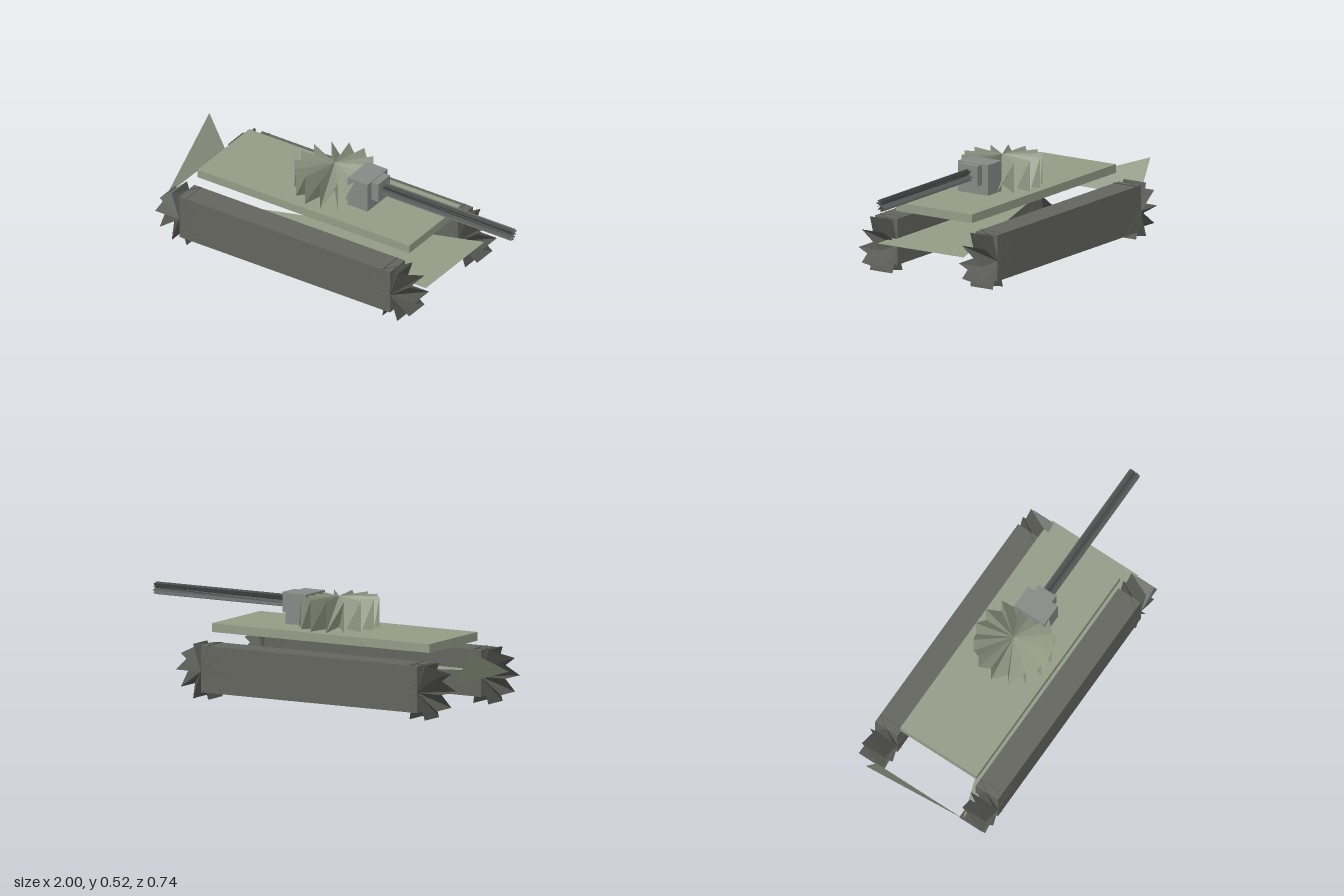
import * as THREE from 'three';

const paint = (color) => new THREE.MeshStandardMaterial({ color, flatShading: true, side: THREE.DoubleSide });

// Triangles from a list of [x, y, z] corners
function triangles(corners) {
  const geo = new THREE.BufferGeometry();
  geo.setAttribute('position', new THREE.Float32BufferAttribute(corners.flat(), 3));
  geo.computeVertexNormals();
  return geo;
}

// Spiked drum along y: each sector is a wedge running from the top rim
// down to the next bottom rim corner, with a radial fin between wedges
function spikedDrum(radius, height, sides) {
  const h = height / 2, top = [0, h, 0], bottom = [0, -h, 0], list = [];
  const rim = (i, y) => {
    const a = (i / sides) * Math.PI * 2;
    return [radius * Math.cos(a), y, radius * Math.sin(a)];
  };
  for (let i = 0; i < sides; i++) {
    const t = rim(i, h), b = rim(i, -h), next = rim(i + 1, -h);
    list.push(top, next, t, bottom, t, next); // wedge
    list.push(top, t, b, top, b, bottom); // fin
  }
  return triangles(list);
}

// Box given by its limits on each axis
function boxBetween([x0, x1], [y0, y1], [z0, z1]) {
  return new THREE.BoxGeometry(x1 - x0, y1 - y0, z1 - z0)
    .translate((x0 + x1) / 2, (y0 + y1) / 2, (z0 + z1) / 2);
}

export function createModel() {
  const model = new THREE.Group();
  const green = paint(0x939b86), grey = paint(0x858985);
  const trackPaint = paint(0x64645e), wheelPaint = paint(0x555550), barrelPaint = paint(0x555857);

  const add = (name, geometry, material) => {
    const mesh = new THREE.Mesh(geometry, material);
    mesh.name = name;
    model.add(mesh);
    return mesh;
  };

  // Hull deck
  add('deck', boxBetween([-0.74, 0.53], [0.317, 0.361], [-0.229, 0.229]), green);

  // Triangular floor sheet and the sloped rear sheet
  const y = 0.17, w = 0.26;
  add('floorSheet', triangles([[-0.905, y, w], [0.65, y, w], [0.65, y, -w]]), green);
  add('rearSheet', triangles([[-1, 0.348, -w], [-0.905, y, w], [-0.905, y, -w]]), green);

  // Tracks with a spiked wheel at each end
  for (const side of [-1, 1]) {
    const z = side * 0.302;
    add(side > 0 ? 'frontTrack' : 'backTrack',
      boxBetween([-0.756, 0.508], [0.034, 0.27], [z - 0.067, z + 0.067]), trackPaint);
    for (const x of [-0.756, 0.508]) {
      const wheel = add('wheel', spikedDrum(0.144, 0.136, 10).rotateX(Math.PI / 2), wheelPaint);
      wheel.position.set(x, 0.137, z);
    }
  }

  // Turret
  add('turret', spikedDrum(0.202, 0.157, 14), green).position.set(-0.073, 0.4395, 0);

  // Gun mount and barrel
  add('mantlet', boxBetween([0.065, 0.185], [0.368, 0.524], [-0.09, 0.09]), grey);
  add('barrelCollar', boxBetween([0.185, 0.225], [0.418, 0.521], [-0.053, 0.053]), grey);
  add('barrel', spikedDrum(0.032, 0.78, 10).rotateZ(-Math.PI / 2), barrelPaint).position.set(0.61, 0.47, 0);

  return model;
}
